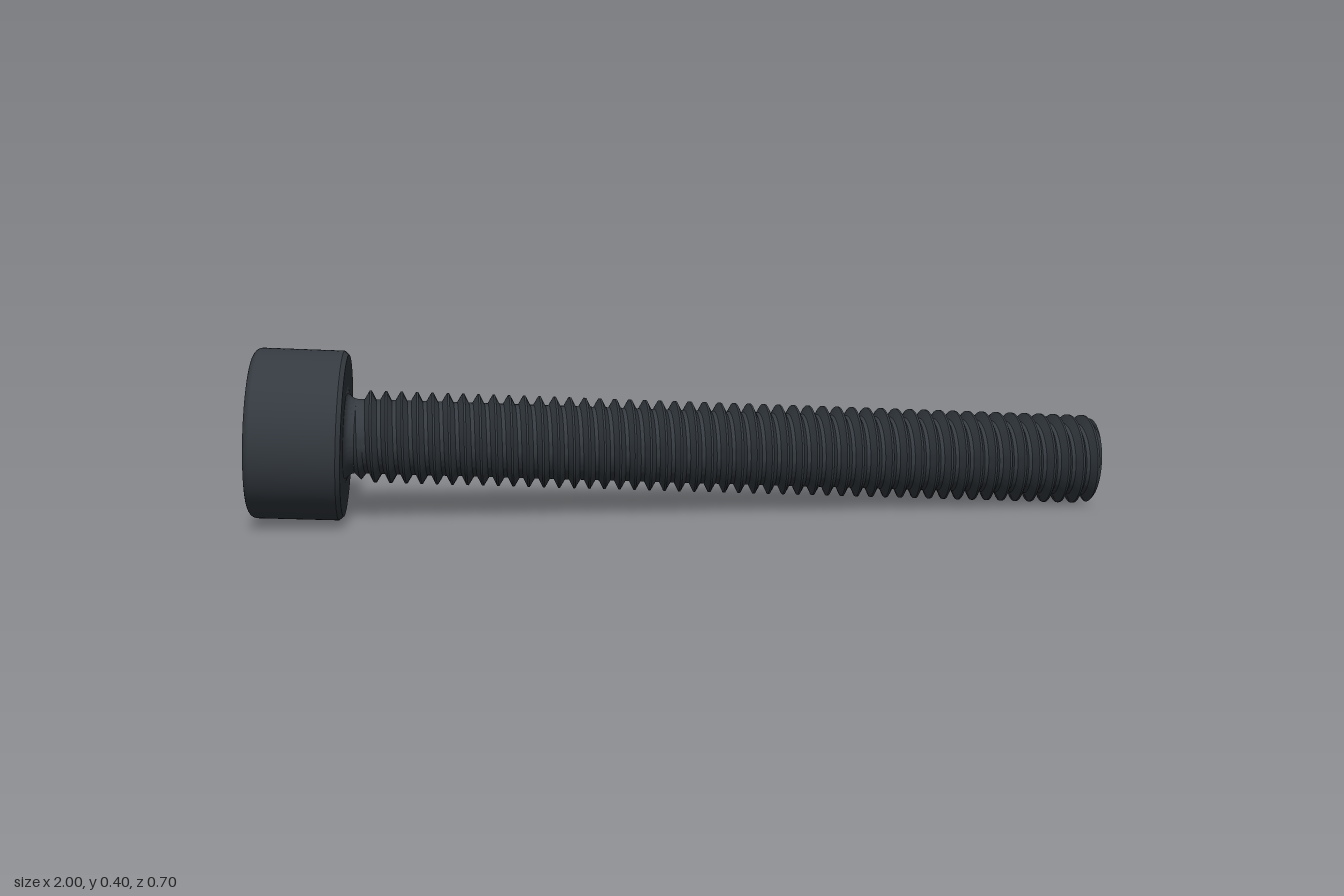
import * as THREE from 'three';
import { toCreasedNormals } from 'three/addons/utils/BufferGeometryUtils.js';

const TAU = Math.PI * 2;
const LENGTH = 1.983, HEAD_LENGTH = 0.213, HEAD_RADIUS = 0.196;
const HOLE_RADIUS = 0.102, HEX_APOTHEM = 0.0885, SOCKET_DEPTH = 0.1;
const PITCH = 0.0354, CREST = 0.1065, ROOT = 0.086, THREAD_START = 0.235, TIP_RADIUS = 0.0985;

// Surface around the y axis; section(row, angle) gives [radius, y].
function loft(rows, columns, section) {
  const positions = [], index = [];
  for (let i = 0; i < rows; i++) {
    for (let j = 0; j <= columns; j++) {
      const a = (j / columns) * TAU;
      const [r, y] = section(i, a);
      positions.push(r * Math.sin(a), y, r * Math.cos(a));
    }
  }
  for (let i = 0; i < rows - 1; i++) {
    for (let j = 0; j < columns; j++) {
      const p = i * (columns + 1) + j, q = p + columns + 1;
      index.push(p, p + 1, q, p + 1, q + 1, q);
    }
  }
  const geometry = new THREE.BufferGeometry();
  geometry.setAttribute('position', new THREE.Float32BufferAttribute(positions, 3));
  geometry.setIndex(index);
  return toCreasedNormals(geometry, 0.5);
}

// Radius of a hexagon with a corner at angle 0
const hexRadius = (a) => HEX_APOTHEM / Math.cos((a % (Math.PI / 3)) - Math.PI / 6);

// Right-hand V thread: flat crest, sloped flanks, flat root
function threadRadius(y, a) {
  const turn = y / PITCH - a / TAU;
  const distance = Math.abs(turn - Math.floor(turn) - 0.5) * 2; // 0 at crest, 1 at root
  const t = THREE.MathUtils.clamp((distance - 0.125) / 0.625, 0, 1);
  let r = THREE.MathUtils.lerp(CREST, ROOT, t);
  r = Math.min(r, ROOT + (y - THREAD_START), TIP_RADIUS + (LENGTH - y));
  return Math.max(r, TIP_RADIUS - (LENGTH - y) * 2); // close the thread at the tip
}

export function createModel() {
  const group = new THREE.Group();
  group.name = 'socketHeadScrew';
  const steel = new THREE.MeshStandardMaterial({ color: 0x343a40 });
  steel.name = 'blackSteel';
  const add = (name, geometry) => {
    const mesh = new THREE.Mesh(geometry, steel);
    mesh.name = name;
    group.add(mesh);
  };

  // Head: drilled face, rounded outer rim, chamfered underside
  const head = [[HOLE_RADIUS, 0]];
  for (let k = 0; k <= 6; k++) {
    const a = (k / 6) * Math.PI / 2;
    head.push([HEAD_RADIUS - 0.02 * (1 - Math.sin(a)), 0.02 * (1 - Math.cos(a))]);
  }
  head.push([HEAD_RADIUS, HEAD_LENGTH - 0.01], [HEAD_RADIUS - 0.009, HEAD_LENGTH], [0.115, HEAD_LENGTH]);
  add('head', loft(head.length, 96, (i) => head[i]));

  // Fillet between head and shank
  add('neckFillet', loft(6, 96, (i) => {
    const a = (i / 5) * Math.PI / 2;
    return [ROOT + 0.029 * (1 - Math.sin(a)), THREAD_START - 0.022 * Math.cos(a)];
  }));

  // Hexagonal socket: floor, six walls, tapered lead-in up to the round rim
  add('hexSocket', loft(4, 96, (i, a) => [
    [0, SOCKET_DEPTH],
    [hexRadius(a), SOCKET_DEPTH],
    [hexRadius(a), 0.01],
    [HOLE_RADIUS, 0],
  ][i]));

  // Threaded shank: rows follow the helix through each profile corner
  const corners = [0.125, 0.4375, 0.5625, 0.875];
  const firstTurn = Math.floor(THREAD_START / PITCH) - 2;
  const turns = Math.ceil(LENGTH / PITCH) + 1 - firstTurn;
  add('threadedShank', loft(turns * 4, 64, (i, a) => {
    const turn = firstTurn + Math.floor(i / 4) + corners[i % 4] + a / TAU;
    const y = THREE.MathUtils.clamp(turn * PITCH, THREAD_START, LENGTH);
    return [threadRadius(y, a), y];
  }));

  // Flat tip
  add('tip', loft(2, 64, (i) => [i ? 0 : TIP_RADIUS, LENGTH]));

  // Lay the screw down along its slanted axis, socket corner upward
  const start = new THREE.Vector3(-0.958, 0.211, -0.16);
  const axis = new THREE.Vector3(1.938, -0.103, 0.408).normalize();
  const up = new THREE.Vector3(0, 1, 0).addScaledVector(axis, -axis.y).normalize();
  const side = new THREE.Vector3().crossVectors(axis, up);
  group.quaternion.setFromRotationMatrix(new THREE.Matrix4().makeBasis(side, axis, up));
  group.position.copy(start);

  const model = new THREE.Group();
  model.name = 'screw';
  model.add(group);
  return model;
}
